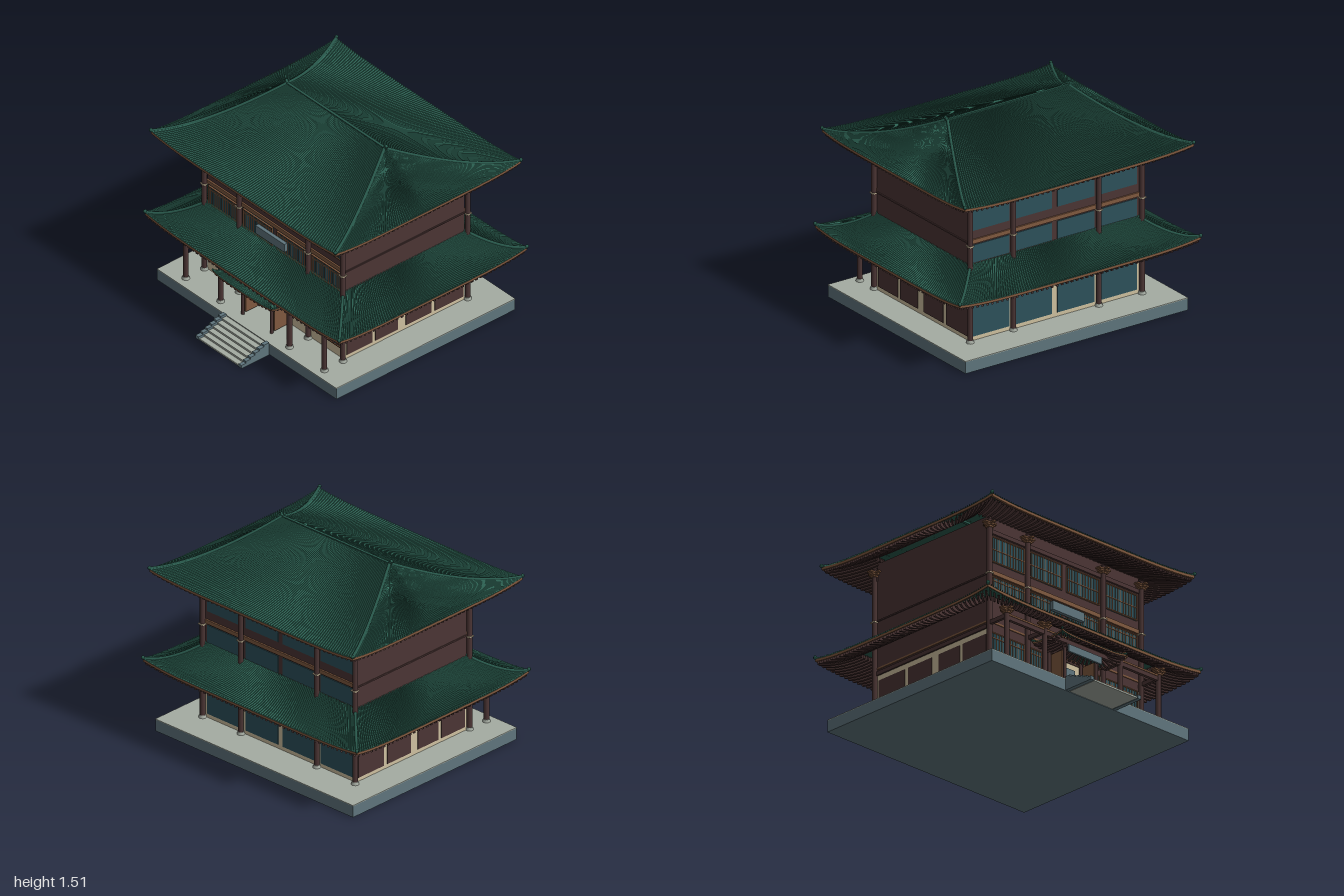
import * as THREE from 'three';
import { mergeGeometries } from 'three/addons/utils/BufferGeometryUtils.js';

const paint = (name, color, side = THREE.FrontSide) => new THREE.MeshStandardMaterial({ name, color, side });

export function createModel() {
  const M = {
    tile: paint('green tile', 0x34705f, THREE.DoubleSide),
    tileDark: paint('dark green tile', 0x28584b, THREE.DoubleSide),
    wood: paint('dark wood', 0x4b3534, THREE.DoubleSide),
    trim: paint('brown trim', 0x80593f, THREE.DoubleSide),
    glass: paint('teal glass', 0x2d515b),
    cream: paint('cream plaster', 0xcfc1a0),
    slate: paint('slate', 0x5f757d),
    stone: paint('pale stone', 0xa5aca2),
  };
  const model = new THREE.Group();
  const hall = new THREE.Group();
  hall.name = 'hall';
  hall.position.z = -0.1;
  model.add(hall);

  const add = (name, geo, mat, parent = hall) => {
    const mesh = new THREE.Mesh(geo, mat);
    mesh.name = name;
    parent.add(mesh);
    return mesh;
  };
  // Box given by its limits on each axis
  const box = (name, mat, x0, x1, y0, y1, z0, z1, parent = hall) => {
    const g = new THREE.BoxGeometry(x1 - x0, y1 - y0, z1 - z0);
    return add(name, g.translate((x0 + x1) / 2, (y0 + y1) / 2, (z0 + z1) / 2), mat, parent);
  };
  // Surface through rows of points
  const loft = (rows, flat = true) => {
    const n = rows[0].length, index = [];
    for (let i = 0; i < rows.length - 1; i++)
      for (let j = 0; j < n - 1; j++) {
        const a = i * n + j, b = a + n;
        index.push(a, b, a + 1, b, b + 1, a + 1);
      }
    let g = new THREE.BufferGeometry().setFromPoints(rows.flat());
    g.setIndex(index);
    if (flat) g = g.toNonIndexed();
    g.computeVertexNormals();
    return g;
  };
  const range = (n, f) => Array.from({ length: n + 1 }, (_, i) => f(i / n));

  // Curved hipped roof: ridge or inner rim (ix, iz) down to eaves (hx, hz)
  function hipRoof(name, { hx, hz, ix, iz, y0, y1, lift, p, s, inner, pitch }) {
    const roof = new THREE.Group();
    roof.name = name;
    hall.add(roof);
    const lerp = THREE.MathUtils.lerp;
    const point = (k, u, t, dy = 0) => {
      const front = k % 2 === 0;
      const a = u * (front ? lerp(ix, hx, t) : lerp(iz, hz, t));
      const o = front ? lerp(iz, hz, t) : lerp(ix, hx, t);
      const y = y0 + (y1 - y0) * (1 - t) ** p + lift * Math.abs(u) ** 5 * t ** 3 + dy;
      return new THREE.Vector3([a, o, -a, -o][k], y, [o, -a, -o, a][k]);
    };
    const skins = [], ribs = [], rafters = [], fascias = [], hips = [];
    for (let k = 0; k < 4; k++) {
      skins.push(loft(range(12, t => range(24, u => point(k, u * 2 - 1, t))), false));
      // Rows of raised tiles running down the slope
      const width = k % 2 ? hz : hx, count = Math.round(2 * width / pitch), du = 0.6 / count;
      for (let i = 0; i < count; i++) {
        const u = (2 * i + 1) / count - 1;
        ribs.push(loft(range(9, t => [
          point(k, u - du, t), point(k, u - du / 2, t, 0.011 * s),
          point(k, u + du / 2, t, 0.011 * s), point(k, u + du, t)])));
      }
      // Rafters under the eaves
      const nr = Math.round(count / 2), w = 0.45 / nr, start = inner[k % 2];
      for (let i = 0; i < nr; i++) {
        const u = (2 * i + 1) / nr - 1;
        rafters.push(loft(range(4, v => {
          const t = lerp(start, 0.985, v);
          return [point(k, u - w, t, -0.002), point(k, u - w, t, -0.034 * s),
            point(k, u + w, t, -0.034 * s), point(k, u + w, t, -0.002)];
        })));
      }
      // Eave board
      fascias.push(loft(range(24, v => {
        const u = v * 2 - 1, b = 1 - 0.02 * s;
        return [point(k, u, 1, 0.001), point(k, u, 1, -0.018 * s), point(k, u, b, -0.018 * s), point(k, u, b, 0)];
      })));
      // Hip ridge with its upturned tip
      const path = range(10, t => point(k, 1, t, 0.007 * s));
      hips.push(new THREE.TubeGeometry(new THREE.CatmullRomCurve3(path), 20, 0.012 * s, 6));
      const end = path[10];
      hips.push(new THREE.SphereGeometry(0.014 * s, 6, 5).translate(end.x, end.y + 0.005 * s, end.z));
    }
    add('roofSurface', mergeGeometries(skins), M.tileDark, roof);
    add('tileRows', mergeGeometries(ribs), M.tile, roof);
    add('rafters', mergeGeometries(rafters), M.wood, roof);
    add('eaveBoards', mergeGeometries(fascias), M.trim, roof);
    add('hipRidges', mergeGeometries(hips), M.tileDark, roof);
    if (iz === 0) {
      box('ridge', M.tileDark, -ix, ix, y1 - 0.02 * s, y1 + 0.012 * s, -0.01 * s, 0.01 * s, roof);
      for (const d of [-1, 1]) {
        const tip = box('ridgeTip', M.tileDark, -0.01 * s, 0.01 * s, -0.02 * s, 0.035 * s, -0.01 * s, 0.01 * s, roof);
        tip.position.set(d * ix, y1, 0);
        tip.rotation.z = -d * 0.55;
      }
    }
    return roof;
  }
  hipRoof('upperRoof', { hx: 0.945, hz: 0.825, ix: 0.5, iz: 0, y0: 1.195, y1: 1.47, lift: 0.027, p: 1.6, s: 1, inner: [0.6, 0.4], pitch: 0.021 });
  hipRoof('lowerRoof', { hx: 0.995, hz: 0.835, ix: 0.69, iz: 0.535, y0: 0.5, y1: 0.65, lift: 0.03, p: 1.7, s: 1, inner: [0.3, 0.3], pitch: 0.021 });
  hipRoof('porchRoof', { hx: 0.3, hz: 0.145, ix: 0.15, iz: 0, y0: 0.405, y1: 0.475, lift: 0.02, p: 1.5, s: 0.6, inner: [0.3, 0.3], pitch: 0.02 })
    .position.z = 0.69;

  // Platform and stairs
  box('platform', M.slate, -0.92, 0.92, 0, 0.084, -0.795, 0.795);
  box('platformTop', M.stone, -0.92, 0.92, 0.084, 0.09, -0.795, 0.795);
  for (let i = 0; i < 6; i++) {
    const h = 0.015 * (i + 1), z = 1.04 - 0.04 * i;
    box('step', M.stone, -0.2, 0.2, 0, h - 0.002, z - 0.04, z);
    for (const d of [-0.22, 0.22])
      box('stairSide', M.slate, d - 0.015, d + 0.015, 0, h + 0.012, z - 0.042, z + 0.004);
  }

  // Walls
  box('groundWalls', M.cream, -0.7, 0.7, 0.09, 0.4, -0.536, 0.536);
  box('upperWalls', M.wood, -0.7, 0.7, 0.4, 1.23, -0.536, 0.536);
  box('wallPlate', M.trim, -0.706, 0.706, 0.445, 0.458, -0.542, 0.542);

  // Columns, stone feet and stacked brackets
  const column = (x, z, y0, y1, r = 0.019) =>
    add('column', new THREE.CylinderGeometry(r, r, y1 - y0, 14).translate(x, (y0 + y1) / 2, z), M.wood);
  const foot = (x, z) =>
    add('columnFoot', new THREE.CylinderGeometry(0.022, 0.028, 0.02, 14).translate(x, 0.1, z), M.stone);
  const bracket = (x, z, y) => {
    for (let i = 0; i < 3; i++) {
      const w = 0.024 + 0.014 * i;
      box('bracket', M.trim, x - w, x + w, y + 0.015 * i, y + 0.015 * i + 0.011, z - 0.02, z + 0.02);
      box('bracketArm', M.trim, x - 0.012, x + 0.012, y + 0.015 * i, y + 0.015 * i + 0.011, z - w, z + w);
    }
  };
  const bays = [-0.71, -0.353, 0.353, 0.71];
  for (const x of bays) {
    for (const z of [-0.555, 0.555]) {
      column(x, z, 0.09, 1.19);
      foot(x, z);
      bracket(x, z, 1.13);
      box('columnBand', M.cream, x - 0.021, x + 0.021, 0.792, 0.8, z - 0.021, z + 0.021);
    }
    column(x, 0.72, 0.09, 0.5);
    foot(x, 0.72);
    bracket(x, 0.72, 0.44);
    box('tieBeam', M.wood, x - 0.01, x + 0.01, 0.41, 0.44, 0.555, 0.72);
  }
  box('verandaBeam', M.wood, -0.72, 0.72, 0.395, 0.425, 0.708, 0.732);
  box('verandaRail', M.trim, -0.72, 0.72, 0.428, 0.44, 0.708, 0.732);
  for (const d of [-1, 1]) {
    const z0 = d > 0 ? 0.536 : -0.548, z1 = z0 + 0.012;
    box('floorBeam', M.trim, -0.7, 0.7, 0.802, 0.832, z0, z1);
    box('eaveBeam', M.wood, -0.71, 0.71, 1.1, 1.13, z0 - 0.004, z1 + 0.004);
    // Seam and wall boards on the plain end walls
    box('sideRail', M.wood, d * 0.703 - 0.004, d * 0.703 + 0.004, 0.8, 0.81, -0.536, 0.536);
    box('sideBeam', M.wood, d * 0.705 - 0.006, d * 0.705 + 0.006, 0.4, 0.43, -0.54, 0.54);
    for (const [a, b] of [[0.29, 0.516], [0.06, 0.26], [-0.235, -0.01], [-0.52, -0.27]])
      box('sidePanel', M.wood, d * 0.702 - 0.004, d * 0.702 + 0.004, 0.12, 0.36, a, b);
  }

  // Latticed window on the front wall
  function latticeWindow(x0, x1, y0, y1, bars, rails) {
    const w = new THREE.Group();
    w.name = 'latticeWindow';
    hall.add(w);
    const z = 0.536, f = 0.007;
    box('glass', M.glass, x0, x1, y0, y1, z, z + 0.006, w);
    for (const y of [y0, y1 - f]) box('frameRail', M.trim, x0, x1, y, y + f, z, z + 0.014, w);
    for (const x of [x0, x1 - f]) box('framePost', M.trim, x, x + f, y0, y1, z, z + 0.014, w);
    for (let i = 1; i < bars; i++) {
      const x = x0 + (x1 - x0) * i / bars;
      box('bar', M.trim, x - 0.002, x + 0.002, y0, y1, z, z + 0.01, w);
    }
    for (const r of rails) {
      const y = y0 + (y1 - y0) * r;
      box('rail', M.trim, x0, x1, y - 0.003, y + 0.003, z, z + 0.011, w);
    }
  }
  for (const [a, b] of [[-0.68, -0.375], [-0.326, -0.022], [0.022, 0.326], [0.375, 0.68]]) {
    latticeWindow(a, b, 0.895, 1.085, 12, [0.5]);
    latticeWindow(a, b, 0.64, 0.79, 14, [0.8]);
    // Plain panes on the back
    for (const [y0, y1] of [[0.895, 1.085], [0.66, 0.79], [0.12, 0.37]])
      box('backPane', M.glass, a, b, y0, y1, -0.541, -0.535);
  }
  for (const [a, b, n] of [[-0.685, -0.53, 6], [-0.53, -0.375, 6], [-0.33, -0.165, 7], [0.165, 0.33, 7], [0.375, 0.53, 6], [0.53, 0.685, 6]])
    latticeWindow(a, b, 0.175, 0.375, n, [0.2, 0.8]);
  box('windowHead', M.wood, -0.7, 0.7, 0.376, 0.4, 0.53, 0.542);

  // Entrance: hanging, posts, open door leaves and boards
  box('doorHanging', M.slate, -0.1, 0.1, 0.235, 0.335, 0.536, 0.543);
  for (const d of [-1, 1]) {
    column(d * 0.147, 0.7, 0.09, 0.41, 0.012);
    column(d * 0.147, 0.55, 0.09, 0.4, 0.012);
    box('doorLeaf', M.trim, d * 0.147 - 0.007, d * 0.147 + 0.007, 0.1, 0.365, 0.575, 0.68);
  }
  box('porchBoard', M.slate, -0.155, 0.155, 0.333, 0.385, 0.735, 0.75);
  box('porchLintel', M.wood, -0.16, 0.16, 0.375, 0.4, 0.69, 0.735);
  box('upperBoard', M.slate, -0.148, 0.148, 0.7, 0.765, 0.56, 0.588);
  return model;
}
